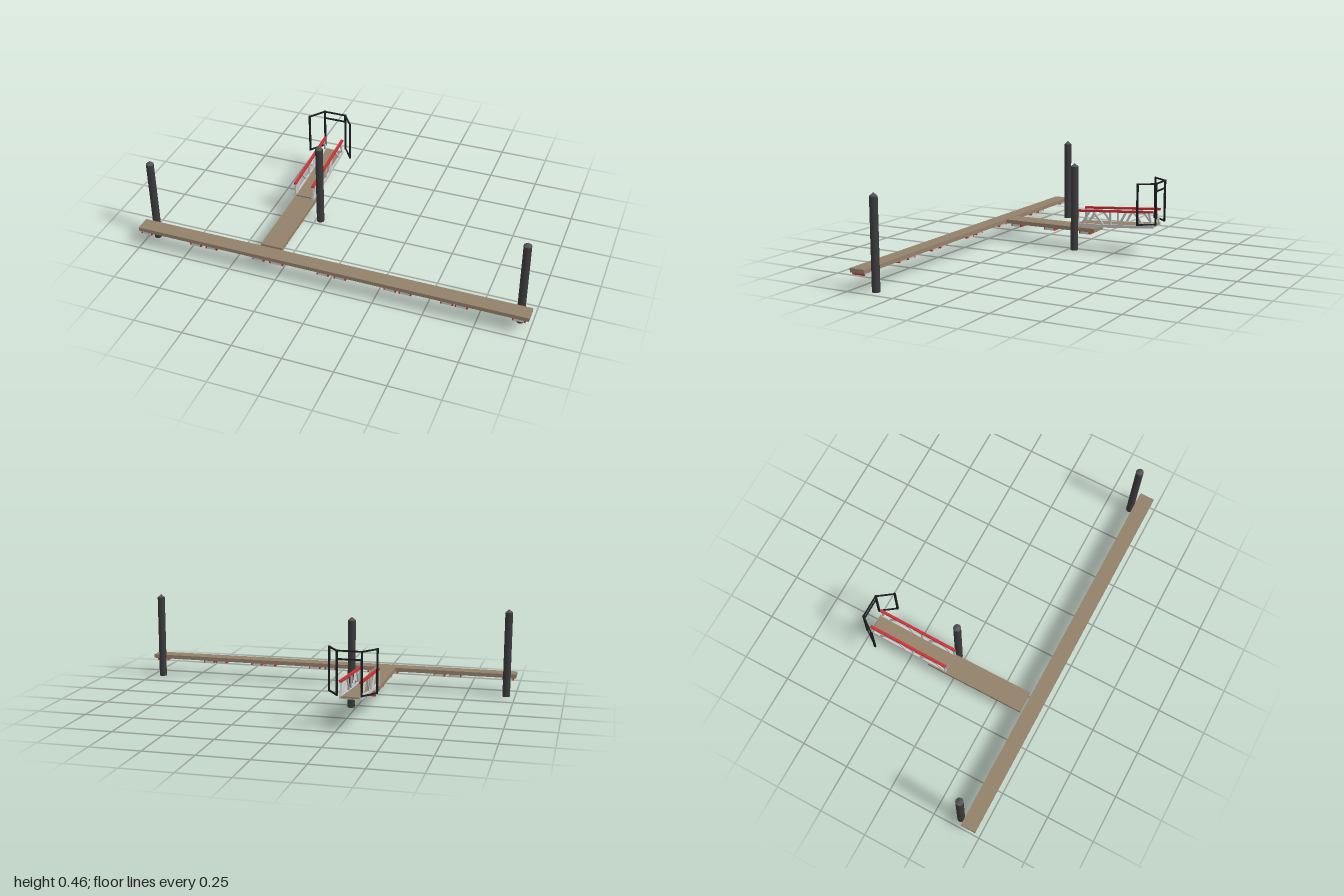
import * as THREE from 'three';

const mat = (name, color) => {
  const m = new THREE.MeshStandardMaterial({ color });
  m.name = name;
  return m;
};

export function createModel() {
  const wood = mat('deck wood', 0x93816a);
  const steel = mat('pile steel', 0x3b3b3d);
  const capGrey = mat('pile cap grey', 0x555557);
  const grey = mat('light grey', 0xc6c6c6);
  const red = mat('red', 0xcb3036);
  const black = mat('gate black', 0x1c1e20);

  const root = new THREE.Group();
  root.name = 'floatingDock';

  const group = (name, parent = root) => {
    const g = new THREE.Group();
    g.name = name;
    parent.add(g);
    return g;
  };

  // Box given by its minimum and maximum on each axis
  const box = (name, parent, m, [x0, x1], [y0, y1], [z0, z1]) => {
    const mesh = new THREE.Mesh(new THREE.BoxGeometry(x1 - x0, y1 - y0, z1 - z0), m);
    mesh.position.set((x0 + x1) / 2, (y0 + y1) / 2, (z0 + z1) / 2);
    mesh.name = name;
    parent.add(mesh);
    return mesh;
  };

  // Square bar running between two points
  const bar = (name, parent, m, a, b, w, h = w) => {
    const p = new THREE.Vector3(...a), q = new THREE.Vector3(...b);
    const mesh = new THREE.Mesh(new THREE.BoxGeometry(w, h, p.distanceTo(q)), m);
    mesh.position.copy(p).add(q).multiplyScalar(0.5);
    const dir = q.clone().sub(p);
    if (Math.hypot(dir.x, dir.z) < 1e-6) mesh.rotation.x = Math.PI / 2;
    else mesh.lookAt(q);
    mesh.name = name;
    parent.add(mesh);
  };

  // Walkways
  box('mainDeck', root, wood, [-1, 1], [0.092, 0.112], [0.402, 0.48]);
  box('branchDeck', root, wood, [-0.368, -0.257], [0.094, 0.114], [-0.132, 0.392]);

  // Floats: grey blocks with red end caps
  const floats = group('floats');
  const END = 0.007;
  for (const [a, b] of [
    [-0.988, -0.927], [-0.715, -0.653], [-0.63, -0.568], [-0.377, -0.315], [-0.287, -0.215],
    [-0.04, 0.022], [0.048, 0.11], [0.3, 0.362], [0.376, 0.438], [0.58, 0.642], [0.65, 0.712], [0.922, 0.984],
  ]) {
    const y = [0.079, 0.093], z = [0.412, 0.479];
    box('mainFloat', floats, grey, [a + END, b - END], y, z);
    box('floatEnd', floats, red, [a, a + END], y, z);
    box('floatEnd', floats, red, [b - END, b], y, z);
  }
  for (const [a, b] of [[0.305, 0.367], [0.102, 0.166], [-0.105, -0.043]]) {
    const x = [-0.362, -0.263], y = [0.08, 0.095];
    box('branchFloat', floats, grey, x, y, [a + END, b - END]);
    box('floatEnd', floats, red, x, y, [a, a + END]);
    box('floatEnd', floats, red, x, y, [b - END, b]);
  }

  // Mooring piles with conical caps
  for (const [x, z] of [[-0.955, 0.378], [0.942, 0.38], [-0.225, -0.034]]) {
    const pile = group('mooringPile');
    pile.position.set(x, 0, z);
    const shaft = new THREE.Mesh(new THREE.CylinderGeometry(0.0195, 0.0195, 0.441, 16), steel);
    shaft.name = 'pileShaft';
    shaft.position.y = 0.2205;
    const cap = new THREE.Mesh(new THREE.ConeGeometry(0.0195, 0.017, 16), capGrey);
    cap.name = 'pileCap';
    cap.position.y = 0.4495;
    pile.add(shaft, cap);
  }

  // Sloping gangway
  const gangway = group('gangway');
  const chord = [[-0.03, 0.128], [-0.2, 0.135], [-0.46, 0.156]]; // [z, y] of the lower chord
  const braces = [
    [-0.036, 0.13, -0.036, 0.203], [-0.055, 0.13, -0.103, 0.206], [-0.122, 0.206, -0.182, 0.136],
    [-0.22, 0.138, -0.22, 0.214], [-0.267, 0.142, -0.31, 0.22], [-0.352, 0.222, -0.408, 0.155],
    [-0.435, 0.229, -0.452, 0.156],
  ];
  for (const x of [-0.361, -0.265]) {
    for (let i = 0; i < 2; i++) {
      const [z0, y0] = chord[i], [z1, y1] = chord[i + 1];
      bar('lowerChord', gangway, grey, [x, y0, z0], [x, y1, z1], 0.011, 0.015);
    }
    for (const [z0, y0, z1, y1] of braces) {
      bar('trussBrace', gangway, grey, [x, y0, z0], [x, y1, z1], 0.008, 0.01);
    }
    bar('handrail', gangway, red, [x, 0.202, -0.03], [x, 0.232, -0.458], 0.013, 0.011);
  }
  for (let i = 0; i < 2; i++) {
    const [z0, y0] = chord[i], [z1, y1] = chord[i + 1];
    bar('gangwayDeck', gangway, wood, [-0.313, y0 + 0.002, z0], [-0.313, y1 + 0.002, z1], 0.086, 0.008);
    bar('gangwayUnderside', gangway, grey, [-0.313, y0 - 0.004, z0], [-0.313, y1 - 0.004, z1], 0.086, 0.004);
  }

  // Security gate: a back opening with two angled wing frames
  const gate = group('gate');
  const T = 0.009, LOW = 0.173, TOP = 0.381, BACK = -0.477;
  for (const [inner, outer] of [[-0.37, -0.427], [-0.253, -0.198]]) {
    bar('gatePost', gate, black, [inner, LOW - 0.004, BACK], [inner, TOP + 0.004, BACK], T);
    bar('wingPost', gate, black, [outer, LOW - 0.004, -0.4], [outer, TOP + 0.004, -0.4], T);
    for (const y of [LOW, TOP]) {
      bar('wingRail', gate, black, [inner, y, BACK], [outer, y, -0.4], 0.007);
    }
  }
  for (const y of [0.342, TOP]) {
    bar('gateCrossbar', gate, black, [-0.37, y, BACK], [-0.253, y, BACK], 0.007);
  }

  return root;
}
